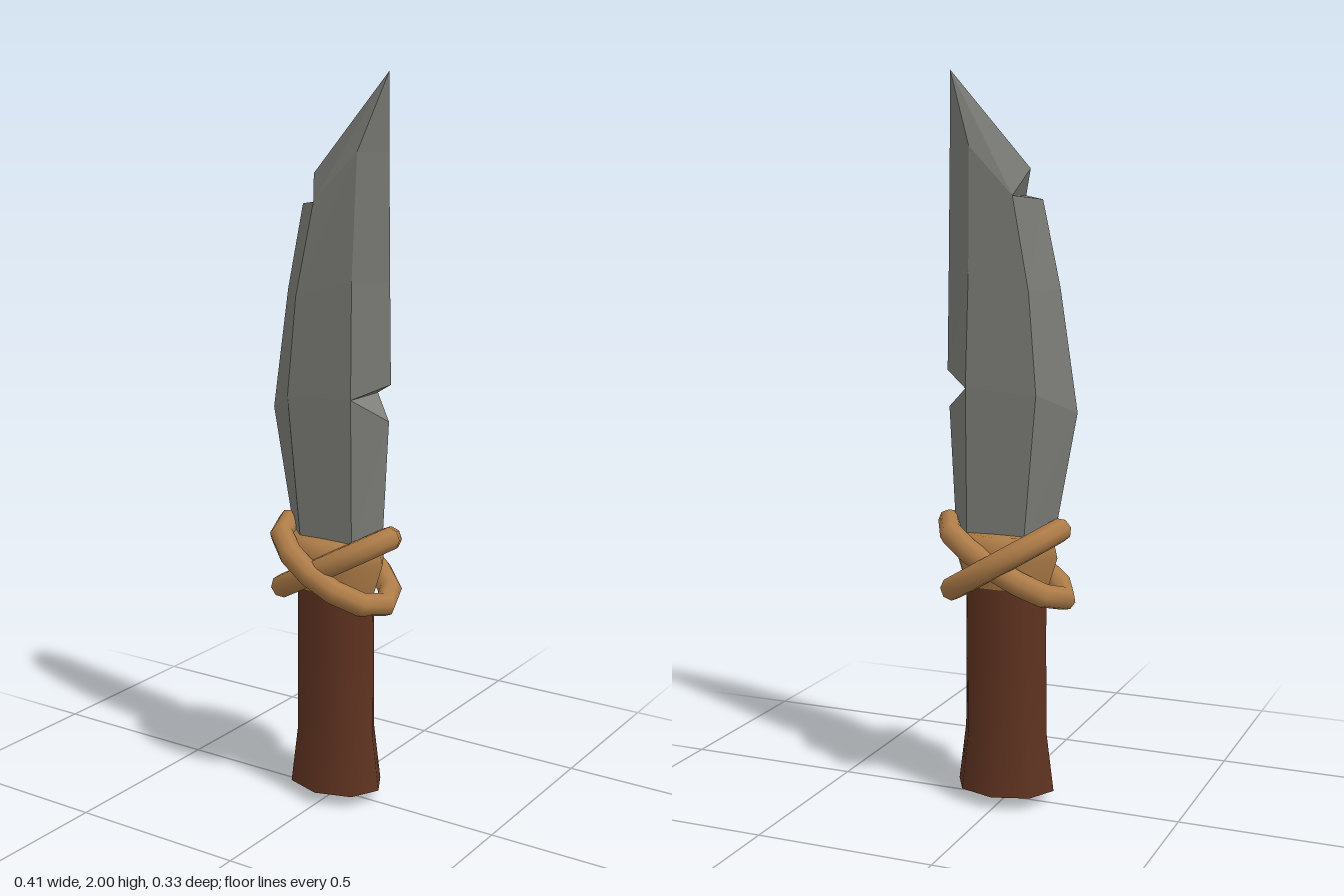
import * as THREE from 'three';

const steel = new THREE.MeshStandardMaterial({ color: 0x7d7d79 });
steel.name = 'steel grey';
steel.flatShading = true;
const wood = new THREE.MeshStandardMaterial({ color: 0x5f3321 });
wood.name = 'dark wood';
const cord = new THREE.MeshStandardMaterial({ color: 0xae7c48 });
cord.name = 'tan cord';

function part(name, geometry, material) {
  const mesh = new THREE.Mesh(geometry, material);
  mesh.name = name;
  return mesh;
}

// Eight-sided oval turning from a profile of [radius, y]
function oval(profile, depth) {
  const points = profile.map(([r, y]) => new THREE.Vector2(r, y));
  return new THREE.LatheGeometry(points, 8).scale(1, 1, depth);
}

// Blade: each row is [cutting edge, left ridge, right ridge, spine edge]
function bladeGeometry() {
  const belly = [-0.205, 1.1, 0];
  const bellyRidge = [-0.112, 1.15, 0.068];
  const spineNotch = [0.09, 1.16, 0.068];
  const tipNotch = [-0.038, 1.67, 0.05];
  const tipRidge = [0.09, 1.8, 0.04];
  const spineTop = [0.162, 1.8, 0];
  const tip = [0.16, 2, 0];
  const rows = [
    [[-0.138, 0.74, 0], [-0.075, 0.74, 0.062], [0.09, 0.74, 0.062], [0.148, 0.74, 0]],
    [belly, bellyRidge, spineNotch, [0.167, 1.1, 0]],
    [belly, bellyRidge, spineNotch, [0.09, 1.16, 0]],
    [belly, bellyRidge, spineNotch, [0.172, 1.2, 0]],
    [[-0.155, 1.43, 0], [-0.088, 1.42, 0.061], [0.085, 1.47, 0.057], [0.167, 1.47, 0]],
    [[-0.105, 1.66, 0], tipNotch, tipRidge, spineTop],
    [[-0.038, 1.67, 0], tipNotch, tipRidge, spineTop],
    [[-0.07, 1.74, 0], tipNotch, tipRidge, spineTop],
    [tip, tip, tip, tip],
  ].map((row) => {
    const [l, a, b, r] = row.map((p) => new THREE.Vector3(...p));
    const back = (v) => new THREE.Vector3(v.x, v.y, -v.z);
    return [l, a, b, r, back(b), back(a)];
  });

  const points = [];
  const addTriangle = (a, b, c) => {
    if (new THREE.Triangle(a, b, c).getArea() > 1e-7) points.push(a, b, c);
  };
  for (let i = 0; i < rows.length - 1; i++) {
    for (let j = 0; j < 6; j++) {
      const k = (j + 1) % 6;
      addTriangle(rows[i][j], rows[i][k], rows[i + 1][k]);
      addTriangle(rows[i][j], rows[i + 1][k], rows[i + 1][j]);
    }
  }
  const geometry = new THREE.BufferGeometry().setFromPoints(points);
  geometry.computeVertexNormals();
  return geometry;
}

// Tilted oval loop of cord
function cordLoop(rx, rz, rise) {
  const points = [];
  for (let i = 0; i < 12; i++) {
    const t = (i / 12) * Math.PI * 2;
    points.push(new THREE.Vector3(Math.cos(t) * rx, 0.685 + Math.cos(t) * rise, Math.sin(t) * rz));
  }
  const path = new THREE.CatmullRomCurve3(points, true);
  return new THREE.TubeGeometry(path, 12, 0.033, 8, true);
}

export function createModel() {
  const model = new THREE.Group();
  model.name = 'knife';

  model.add(part('blade', bladeGeometry(), steel));

  // Grip flares at the foot and narrows through the middle
  model.add(part('handle', oval([[0.142, 0.04], [0.121, 0.2], [0.119, 0.4], [0.118, 0.65]], 0.77), wood));
  model.add(part('handleEnd', oval([[0, 0.005], [0.142, 0.04]], 0.77), cord));

  // Collar and crossed binding where the blade meets the grip
  model.add(part('collar', oval([[0.115, 0.59], [0.15, 0.7], [0.135, 0.765], [0, 0.77]], 0.73), cord));
  model.add(part('innerBinding', cordLoop(0.17, 0.108, 0.094), cord));
  model.add(part('outerBinding', cordLoop(0.157, 0.132, -0.094), cord));

  return model;
}
